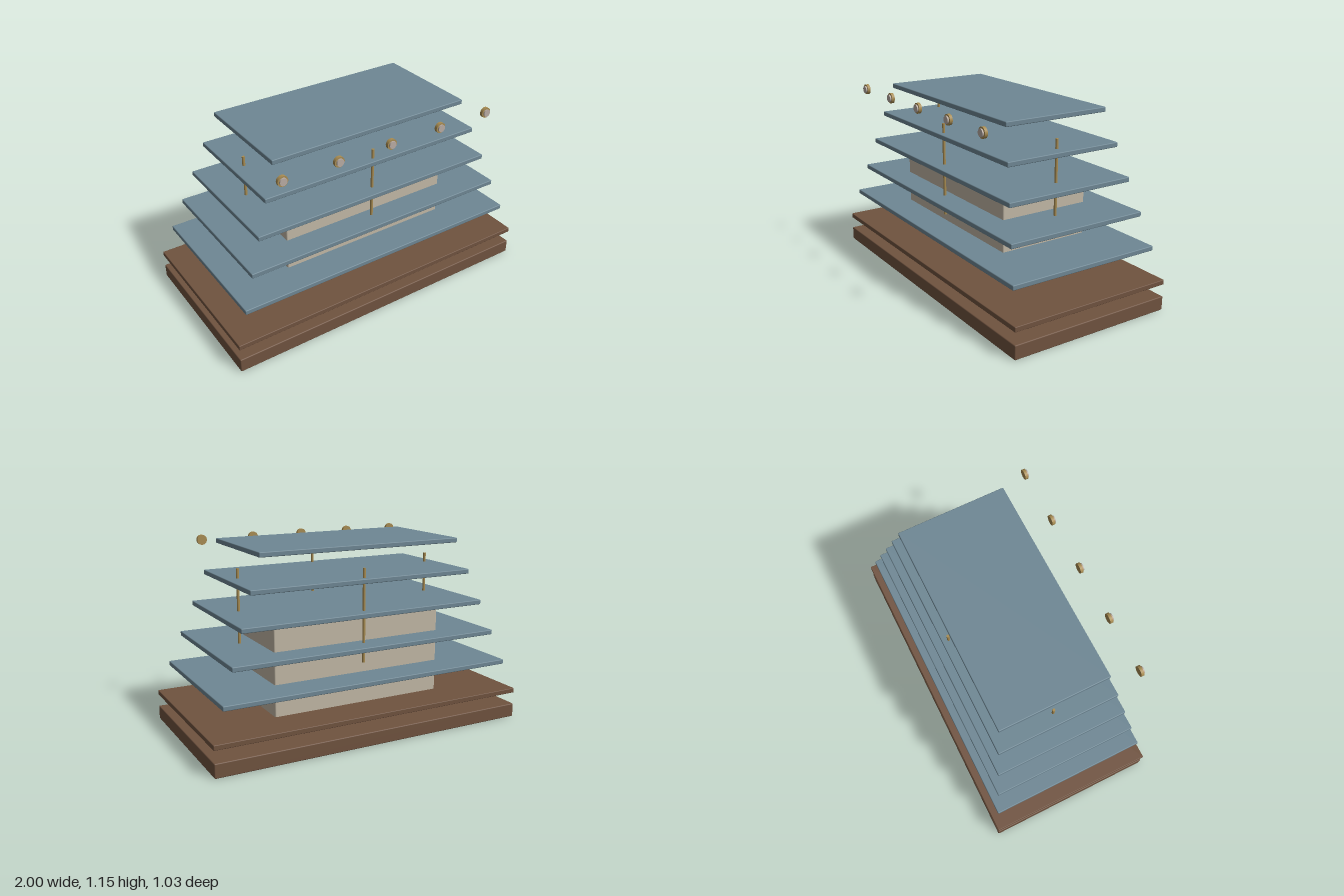
import * as THREE from 'three';
import { RoundedBoxGeometry } from 'three/addons/geometries/RoundedBoxGeometry.js';

function material(name, color) {
  const m = new THREE.MeshStandardMaterial({ color });
  m.name = name;
  return m;
}

export function createModel() {
  const model = new THREE.Group();
  const wood = material('brown wood', 0x70533f);
  const slate = material('slate blue', 0x6e8794);
  const stone = material('warm stone', 0xc2b8a6);
  const brass = material('brass', 0xa88c52);
  const pearl = material('pale cap', 0xb9aca4);

  // Softly rounded slab, centred on x and z, spanning y0 to y1
  function slab(name, halfX, halfZ, y0, y1, mat, radius) {
    const geo = new RoundedBoxGeometry(halfX * 2, y1 - y0, halfZ * 2, 2, radius);
    const mesh = new THREE.Mesh(geo, mat);
    mesh.name = name;
    mesh.position.y = (y0 + y1) / 2;
    model.add(mesh);
  }

  // Base, deck and inner core
  slab('base', 1, 0.515, 0, 0.085, wood, 0.006);
  slab('deck', 1, 0.515, 0.158, 0.188, wood, 0.004);
  slab('core', 0.548, 0.283, 0.1, 0.742, stone, 0.008);

  // Five stacked tiers, each smaller than the one below
  for (let i = 0; i < 5; i++) {
    const y = 0.364 + i * 0.1915;
    slab('tier' + (i + 1), 0.929 - i * 0.071, 0.481 - i * 0.0365, y - 0.0145, y + 0.0145, slate, 0.005);
  }

  // Four upright rods, one at the middle of each side
  const rodGeo = new THREE.CylinderGeometry(0.0085, 0.0085, 0.56, 16);
  for (const [x, z] of [[0.642, 0], [-0.642, 0], [0, 0.332], [0, -0.332]]) {
    const rod = new THREE.Mesh(rodGeo, brass);
    rod.name = 'rod';
    rod.position.set(x, 0.73, z);
    model.add(rod);
  }

  // Row of front knobs, each a brass disc with a pale cap
  const discGeo = new THREE.CylinderGeometry(0.031, 0.031, 0.018, 24).rotateX(Math.PI / 2);
  const capGeo = new THREE.CylinderGeometry(0.022, 0.022, 0.009, 24).rotateX(Math.PI / 2);
  for (let i = -2; i <= 2; i++) {
    const knob = new THREE.Group();
    knob.name = 'knob';
    const disc = new THREE.Mesh(discGeo, brass);
    disc.name = 'knobDisc';
    const cap = new THREE.Mesh(capGeo, pearl);
    cap.name = 'knobCap';
    cap.position.z = 0.0135;
    knob.add(disc, cap);
    knob.position.set(i * 0.34, 1.118, 0.496);
    model.add(knob);
  }

  return model;
}
